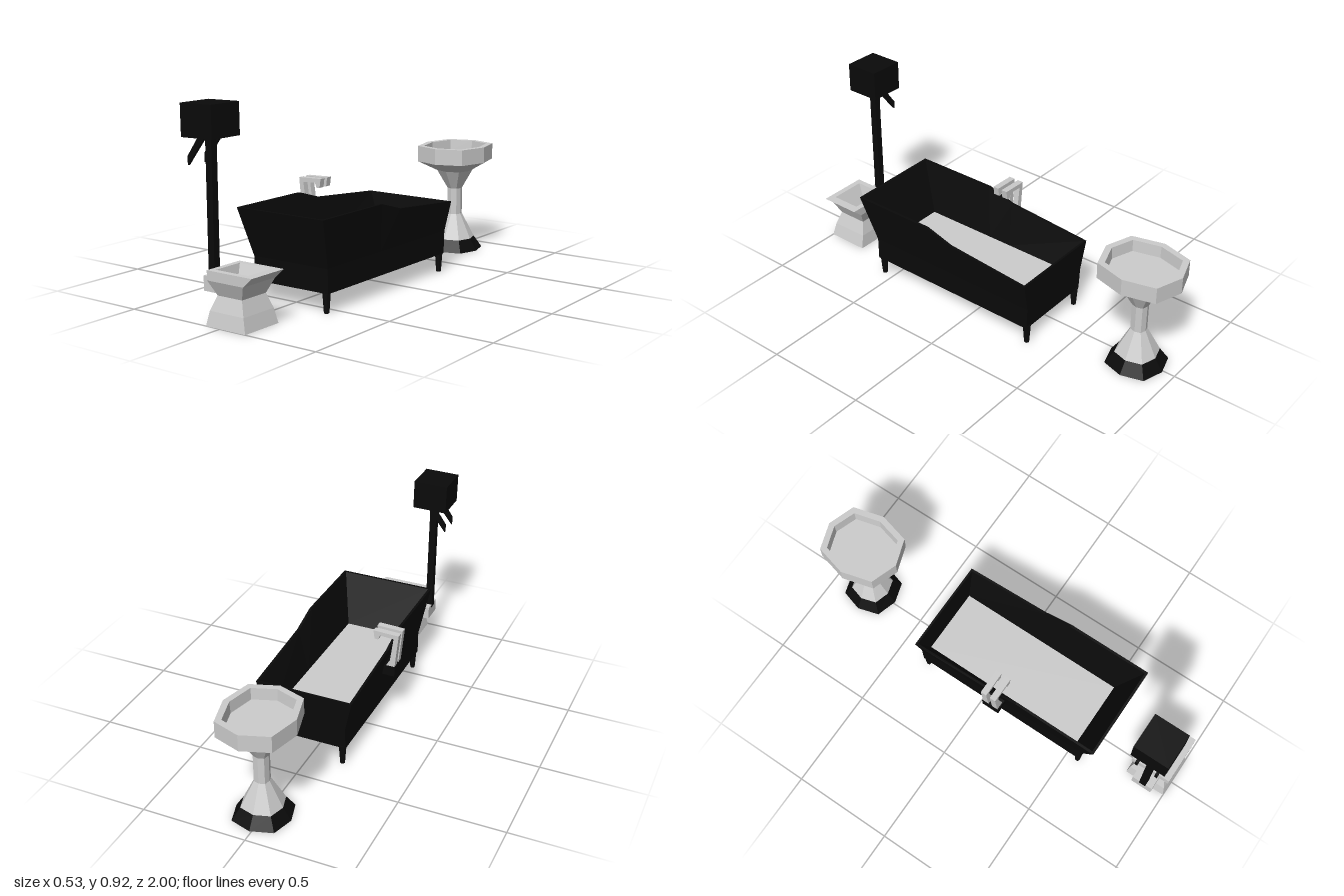
import * as THREE from 'three';

const black = new THREE.MeshStandardMaterial({ color: 0x0a0a0a });
black.name = 'black enamel';
const light = new THREE.MeshStandardMaterial({ color: 0xcccccc });
light.name = 'pale ceramic';

function mesh(name, geometry, material, parent) {
  const m = new THREE.Mesh(geometry, material);
  m.name = name;
  parent.add(m);
  return m;
}

function group(name, parent) {
  const g = new THREE.Group();
  g.name = name;
  parent.add(g);
  return g;
}

// Faceted skin through rings of points; rings run counter-clockwise seen from above
function loft(rings, { bottom = false, top = false } = {}) {
  const pos = [];
  const tri = (a, b, c) => pos.push(...a, ...b, ...c);
  const n = rings[0].length;
  for (let i = 0; i + 1 < rings.length; i++) {
    for (let j = 0; j < n; j++) {
      const k = (j + 1) % n, lo = rings[i], hi = rings[i + 1];
      tri(lo[j], lo[k], hi[k]);
      tri(lo[j], hi[k], hi[j]);
    }
  }
  const first = rings[0], last = rings[rings.length - 1];
  for (let j = 1; j + 1 < n; j++) {
    if (bottom) tri(first[0], first[j + 1], first[j]);
    if (top) tri(last[0], last[j], last[j + 1]);
  }
  const g = new THREE.BufferGeometry();
  g.setAttribute('position', new THREE.Float32BufferAttribute(pos, 3));
  g.computeVertexNormals();
  return g;
}

const rect = (y, x0, x1, z0, z1) => [[x0, y, z1], [x1, y, z1], [x1, y, z0], [x0, y, z0]];

// Eight-sided ring with corners on the axes and slightly full diagonals
function octagon(y, rx, rz) {
  const d = 0.77;
  return [[0, 1], [d, d], [1, 0], [d, -d], [0, -1], [-d, -d], [-1, 0], [-d, d]]
    .map(([x, z]) => [0.01 + x * rx, y, -0.804 + z * rz]);
}

function buildTub(root) {
  const tub = group('bathtub', root);
  const cx = 0.028;
  const stations = [0, 0.425, 0.569, 1]; // front to back along the rim
  const rimHeights = [0.428, 0.428, 0.385, 0.348];
  const ring = (half, front, back, heights) => {
    const side = (s) => stations.map((t, i) =>
      [cx + s * half, Array.isArray(heights) ? heights[i] : heights, front + (back - front) * t]);
    return [...side(1), ...side(-1).reverse()];
  };
  const floor = ring(0.164, 0.53, -0.324, 0.19);
  mesh('tubShell', loft([
    ring(0.205, 0.575, -0.345, 0.09),
    ring(0.205, 0.575, -0.35, 0.2),
    ring(0.238, 0.648, -0.356, rimHeights),
    ring(0.226, 0.636, -0.346, rimHeights),
    floor,
  ], { bottom: true }), black, tub);
  mesh('tubFloor', loft([floor], { top: true }), light, tub);

  for (const x of [-0.158, 0.213]) {
    for (const z of [0.558, -0.333]) {
      const leg = mesh('tubLeg', new THREE.CylinderGeometry(0.019, 0.012, 0.1, 8).toNonIndexed(), black, tub);
      leg.geometry.computeVertexNormals();
      leg.position.set(x, 0.05, z);
    }
  }

  // Pair of bent taps on a side bracket
  const bracket = mesh('tapBracket', new THREE.BoxGeometry(0.07, 0.05, 0.09), black, tub);
  bracket.position.set(-0.215, 0.286, 0.105);
  const outline = [[-0.247, 0.3], [-0.207, 0.3], [-0.207, 0.314], [-0.222, 0.33], [-0.24, 0.462], [-0.172, 0.466],
    [-0.162, 0.442], [-0.144, 0.444], [-0.138, 0.487], [-0.265, 0.483]];
  const shape = new THREE.Shape(outline.map(([x, y]) => new THREE.Vector2(x, y)));
  for (const z of [0.065, 0.115]) {
    const tap = mesh('tap', new THREE.ExtrudeGeometry(shape, { depth: 0.03, bevelEnabled: false }), light, tub);
    tap.position.z = z;
  }
}

function buildBasin(root) {
  const basin = group('washBasin', root);
  const foot = octagon(0, 0.134, 0.137);
  const ankle = octagon(0.059, 0.096, 0.097);
  mesh('footBand', loft([foot, ankle]), black, basin);
  mesh('footUnderside', loft([foot], { bottom: true }), light, basin);
  mesh('pedestalAndBowl', loft([
    ankle,
    octagon(0.185, 0.035, 0.036),
    octagon(0.32, 0.035, 0.036),
    octagon(0.415, 0.085, 0.09),
    octagon(0.466, 0.172, 0.196),
    octagon(0.546, 0.172, 0.196),
    octagon(0.546, 0.142, 0.166),
    octagon(0.49, 0.138, 0.162),
  ], { top: true }), light, basin);
}

function buildToilet(root) {
  const toilet = group('toilet', root);
  const drain = rect(0.14, -0.022, 0.03, 0.865, 0.917);
  mesh('toiletBowl', loft([
    rect(0, -0.077, 0.138, 0.79, 1.0),
    rect(0.065, -0.064, 0.12, 0.798, 0.988),
    rect(0.13, -0.038, 0.095, 0.817, 0.967),
    rect(0.195, -0.07, 0.126, 0.793, 0.995),
    rect(0.238, -0.07, 0.174, 0.793, 0.995),
    rect(0.238, -0.044, 0.13, 0.82, 0.967),
    drain,
  ], { bottom: true }), light, toilet);
  mesh('drain', loft([drain], { top: true }), black, toilet);

  const arm = mesh('pipeArm', new THREE.BoxGeometry(0.09, 0.066, 0.105), light, toilet);
  arm.position.set(-0.09, 0.163, 0.893);

  // High cistern on its slightly leaning pipe
  const pipe = mesh('cisternPipe', new THREE.BoxGeometry(0.033, 0.61, 0.034), black, toilet);
  pipe.position.set(-0.122, 0.485, 0.895);
  pipe.rotation.z = 0.006;
  const tank = mesh('cistern', new THREE.BoxGeometry(0.171, 0.142, 0.17), black, toilet);
  tank.position.set(-0.127, 0.848, 0.894);
  tank.rotation.z = 0.015;

  // Two slanted pull handles
  const pull = new THREE.Shape([[-0.203, 0.656], [-0.11, 0.775], [-0.11, 0.79], [-0.135, 0.79], [-0.203, 0.695]]
    .map(([x, y]) => new THREE.Vector2(x, y)));
  for (const z of [0.838, 0.938]) {
    const handle = mesh('pullHandle', new THREE.ExtrudeGeometry(pull, { depth: 0.014, bevelEnabled: false }), black, toilet);
    handle.position.z = z;
  }
}

export function createModel() {
  const root = new THREE.Group();
  root.name = 'bathroomSet';
  buildTub(root);
  buildBasin(root);
  buildToilet(root);
  return root;
}
